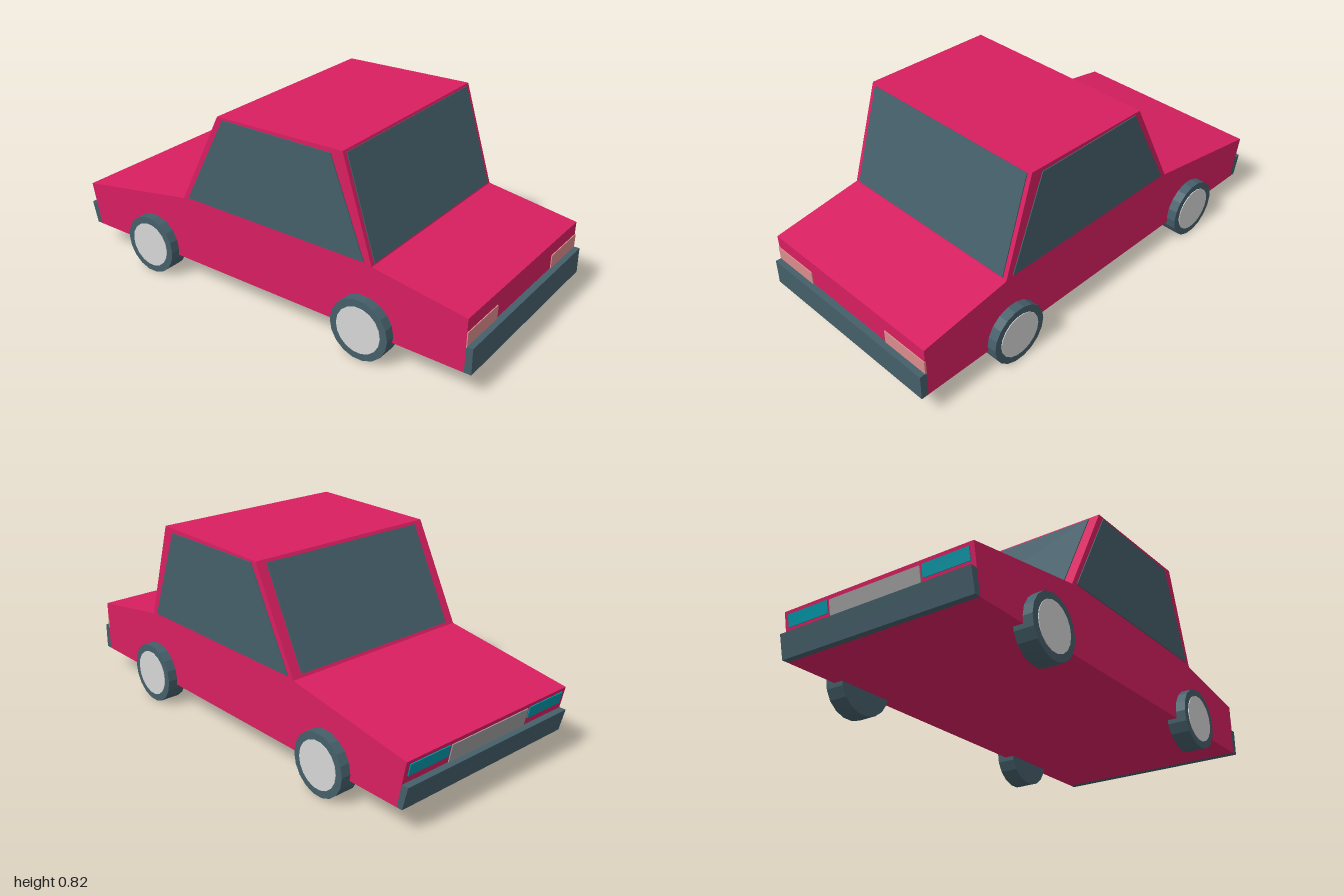
import * as THREE from 'three';

const mat = (name, color, flatShading = false) => {
  const m = new THREE.MeshStandardMaterial({ color, flatShading });
  m.name = name;
  return m;
};

export function createModel() {
  const red = mat('red paint', 0xd81f60);
  const slate = mat('slate', 0x455f6a, true);
  const silver = mat('silver', 0xd6d6d6);
  const grey = mat('grille grey', 0x9e9e9e);
  const teal = mat('teal glass', 0x0097a7);
  const pink = mat('pink glass', 0xdc8c8c);

  const car = new THREE.Group();
  car.name = 'car';
  const HALF = 0.45;

  const add = (name, geometry, material, parent = car) => {
    const mesh = new THREE.Mesh(geometry, material);
    mesh.name = name;
    parent.add(mesh);
    return mesh;
  };

  // Side outline pushed through the width, centred on z
  const slab = (name, points, width, material, z = 0) => {
    const shape = new THREE.Shape(points.map(([x, y]) => new THREE.Vector2(x, y)));
    const geo = new THREE.ExtrudeGeometry(shape, { depth: width, bevelEnabled: false });
    geo.translate(0, 0, z - width / 2);
    return add(name, geo, material);
  };

  // Thin plate lying on the sloping line from a to b, spanning z0 to z1
  const plate = (name, a, b, z0, z1, material) => {
    const dx = b[0] - a[0], dy = b[1] - a[1];
    const mesh = add(name, new THREE.BoxGeometry(0.008, Math.hypot(dx, dy), z1 - z0), material);
    mesh.position.set((a[0] + b[0]) / 2, (a[1] + b[1]) / 2, (z0 + z1) / 2);
    mesh.rotation.z = -Math.atan2(dx, dy);
  };

  // Point at height y on the line from a to b
  const at = (a, b, y) => [a[0] + (b[0] - a[0]) * (y - a[1]) / (b[1] - a[1]), y];

  // Body and cabin
  const noseLow = [-0.94, 0.103], nose = [-0.98, 0.295];
  const screenLow = [-0.395, 0.393], screenTop = [-0.183, 0.808];
  const rearTop = [0.418, 0.82], rearLow = [0.553, 0.393];
  const tail = [0.96, 0.33], tailLow = [0.957, 0.103];
  slab('body', [noseLow, tailLow, tail, rearLow, rearTop, screenTop, screenLow, nose], HALF * 2, red);

  // Bumpers
  slab('frontBumper', [[-0.966, 0.103], [-0.938, 0.103], [-0.958, 0.2], [-0.99, 0.2]], HALF * 2, slate);
  slab('rearBumper', [[0.955, 0.103], [0.987, 0.103], [0.987, 0.215], [0.955, 0.215]], HALF * 2, slate);

  // Windows
  for (const s of [-1, 1]) {
    slab(s > 0 ? 'leftWindow' : 'rightWindow',
      [[-0.365, 0.403], [0.52, 0.403], [0.366, 0.8], [-0.155, 0.8]], 0.008, slate, s * HALF);
  }
  plate('windshield', at(screenLow, screenTop, 0.405), at(screenLow, screenTop, 0.795), -0.405, 0.405, slate);
  plate('rearWindow', at(rearLow, rearTop, 0.4), at(rearLow, rearTop, 0.81), -0.43, 0.43, slate);

  // Grille and lights
  plate('grille', at(noseLow, nose, 0.2), at(noseLow, nose, 0.278), -0.215, 0.215, grey);
  for (const s of [-1, 1]) {
    const span = (a, b) => (s > 0 ? [a, b] : [-b, -a]);
    plate('headlight', at(noseLow, nose, 0.23), at(noseLow, nose, 0.28), ...span(0.225, 0.43), teal);
    plate('tailLight', at(tailLow, tail, 0.21), at(tailLow, tail, 0.274), ...span(0.226, HALF), pink);
  }

  // Wheels with hubcaps
  for (const x of [-0.578, 0.526]) {
    for (const s of [-1, 1]) {
      const wheel = new THREE.Group();
      wheel.name = x < 0 ? 'frontWheel' : 'rearWheel';
      const tire = add('tire', new THREE.CylinderGeometry(0.131, 0.131, 0.085, 18), slate, wheel);
      const hub = add('hubcap', new THREE.CylinderGeometry(0.1, 0.1, 0.006, 18), silver, wheel);
      hub.position.y = 0.0425;
      tire.rotation.y = hub.rotation.y = Math.PI / 18;
      wheel.position.set(x, 0.13, s * 0.4495);
      wheel.rotation.x = s * Math.PI / 2;
      car.add(wheel);
    }
  }

  // The car stands turned slightly on the spot
  car.rotation.y = -0.025;
  const model = new THREE.Group();
  model.add(car);
  return model;
}
